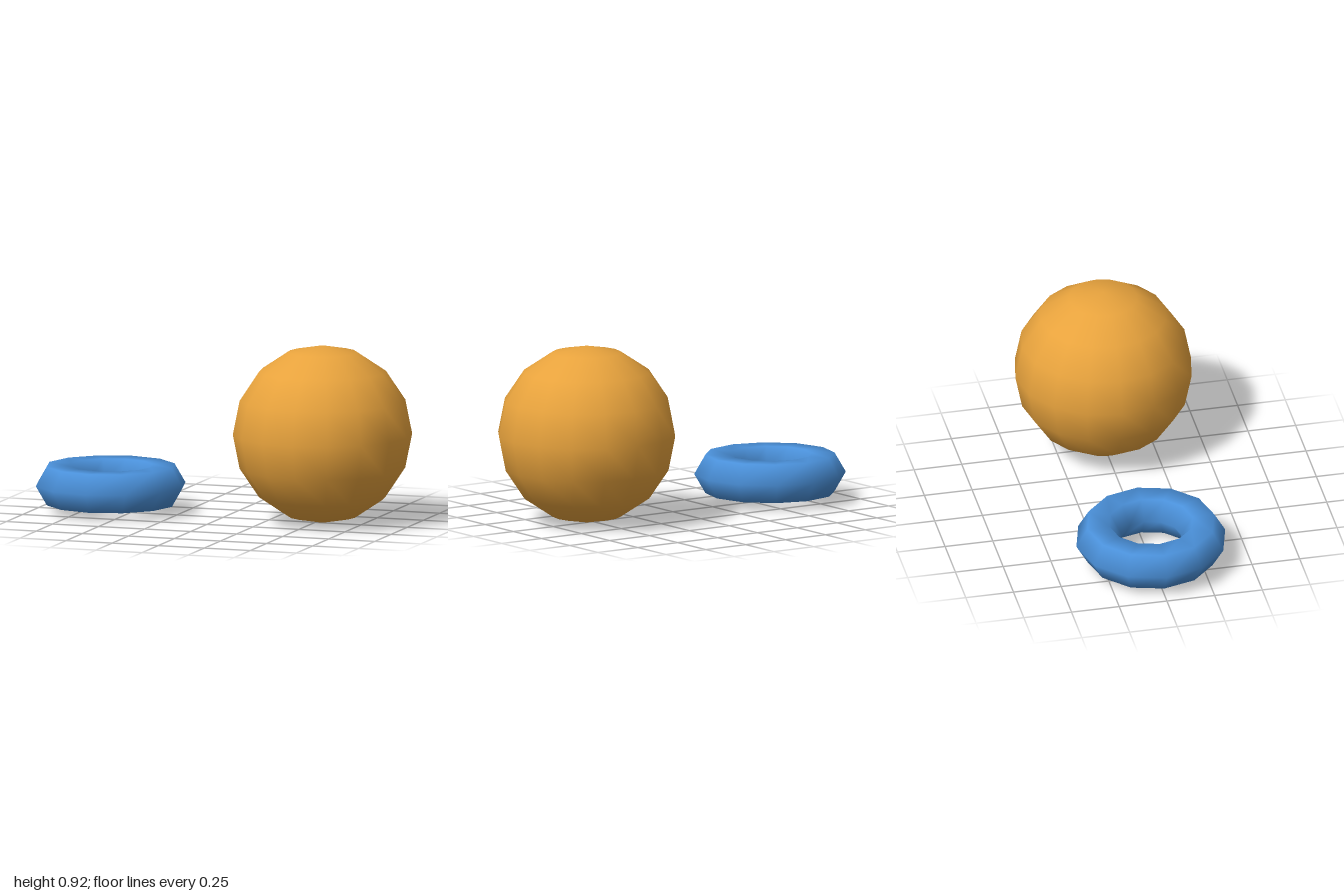
import * as THREE from 'three';

export function createModel() {
  const model = new THREE.Group();

  const addPart = (name, geometry, color, x, y) => {
    const mesh = new THREE.Mesh(geometry, new THREE.MeshStandardMaterial({ color }));
    mesh.name = name;
    mesh.position.set(x, y, 0);
    model.add(mesh);
  };

  // Ball resting on the ground
  addPart('ball', new THREE.SphereGeometry(0.46, 16, 8), 0xe8a33d, 0.54, 0.46);

  // Flat-lying ring with a six-sided tube
  const ring = new THREE.TorusGeometry(0.275, 0.115, 6, 12).rotateX(-Math.PI / 2);
  addPart('ring', ring, 0x4a90d9, -0.61, 0.14);

  return model;
}
